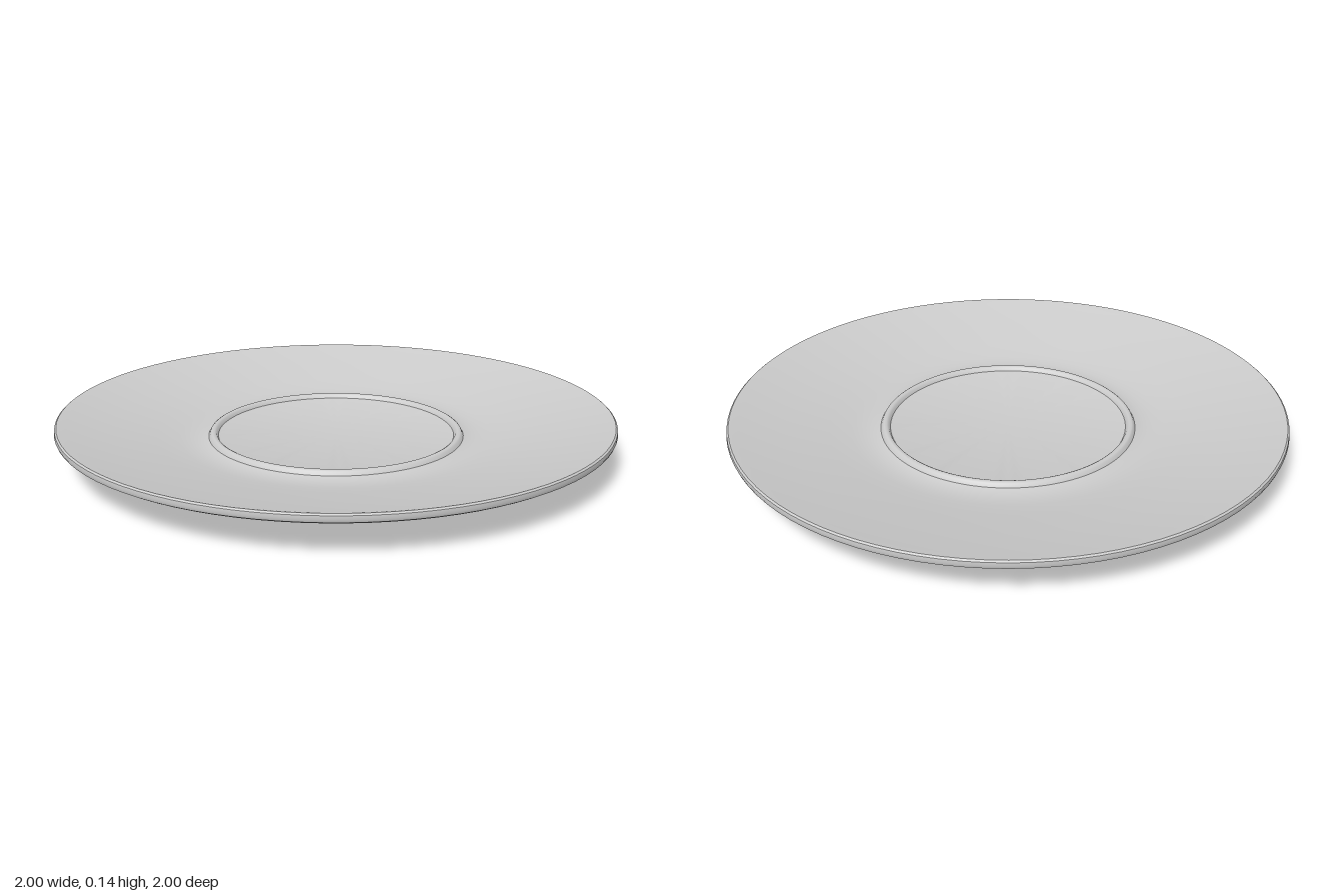
import * as THREE from 'three';
import { toCreasedNormals } from 'three/addons/utils/BufferGeometryUtils.js';

export function createModel() {
  const group = new THREE.Group();
  group.name = 'saucer';
  const material = new THREE.MeshStandardMaterial({ color: 0xcccccc });

  // Closed cross-section [radius, height]: underside, rim, sloping top, raised bead, well floor
  const profile = [
    [0, 0], [0.35, 0.002], [0.5, 0.007], [0.55, 0.013], [0.6, 0.023],
    [0.8, 0.068], [0.96, 0.105], [0.985, 0.112], [0.997, 0.119],
    [1, 0.128], [0.998, 0.14], [0.992, 0.145], [0.982, 0.143],
    [0.96, 0.137], [0.8, 0.102], [0.65, 0.07], [0.57, 0.055],
    [0.53, 0.05], [0.5, 0.05], [0.475, 0.053], [0.465, 0.056],
    [0.458, 0.068], [0.452, 0.072], [0.443, 0.072], [0.436, 0.068],
    [0.43, 0.057], [0.422, 0.055], [0, 0.055],
  ].map(([r, y]) => new THREE.Vector2(r, y));

  const geometry = toCreasedNormals(new THREE.LatheGeometry(profile, 96), 0.6);
  const dish = new THREE.Mesh(geometry, material);
  dish.name = 'dish';
  group.add(dish);
  return group;
}
